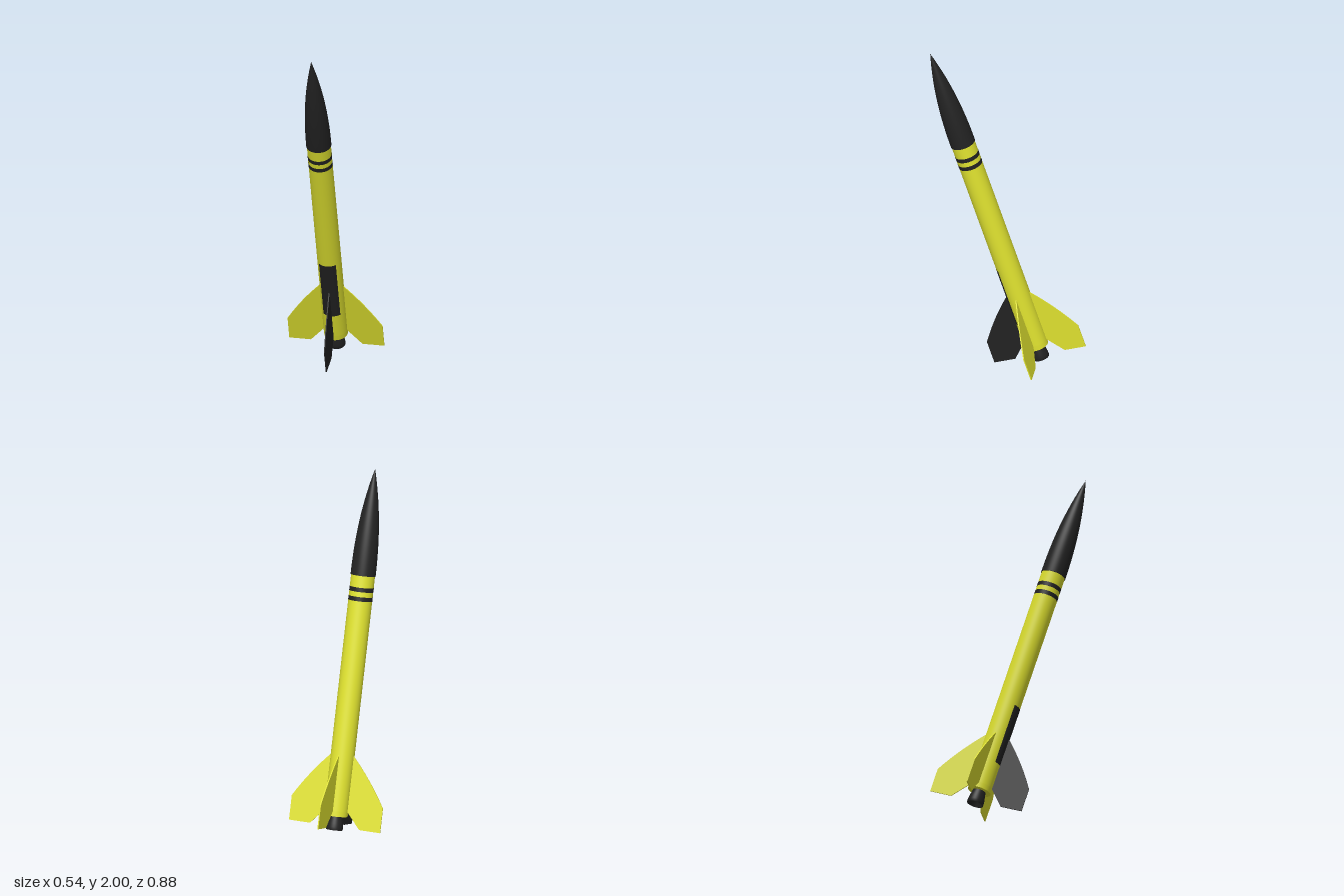
import * as THREE from 'three';

const R = 0.067;
const yellow = new THREE.MeshStandardMaterial({ color: 0xdde02f });
const black = new THREE.MeshStandardMaterial({ color: 0x222222 });
const blackThin = new THREE.MeshStandardMaterial({ color: 0x222222, side: THREE.DoubleSide });

function add(parent, name, geometry, material, y = 0) {
  const mesh = new THREE.Mesh(geometry, material);
  mesh.name = name;
  mesh.position.y = y;
  parent.add(mesh);
  return mesh;
}

// Swept fin outline: x is distance from the axis, y runs along it
function finGeometry() {
  const t = 0.006;
  const s = new THREE.Shape();
  s.moveTo(R - 0.002, 0.03);
  s.lineTo(0.147, -0.061);
  s.lineTo(0.271, -0.061);
  s.lineTo(0.271, 0.077);
  s.quadraticCurveTo(0.18, 0.225, R - 0.002, 0.343);
  s.closePath();
  const g = new THREE.ExtrudeGeometry(s, { depth: t, bevelEnabled: false, curveSegments: 8 });
  return g.translate(0, 0, -t / 2);
}

export function createModel() {
  const rocket = new THREE.Group();
  rocket.name = 'rocket';

  // Body tube with a separate short tail ring
  add(rocket, 'tailRing', new THREE.CylinderGeometry(R, R - 0.001, 0.03, 64), yellow, 0.015);
  add(rocket, 'bodyTube', new THREE.CylinderGeometry(R, R, 1.322, 64), yellow, 0.691);

  // Nose cone: rounded ogive, slightly wider than the tube
  const noseLength = 0.598, profile = [new THREE.Vector2(0.0702, 0)];
  for (let i = 1; i <= 32; i++) {
    const t = i / 32;
    profile.push(new THREE.Vector2(0.0702 * (1 - t ** 2.2), t * noseLength));
  }
  add(rocket, 'noseCone', new THREE.LatheGeometry(profile, 64), black, 1.352);
  const noseBase = add(rocket, 'noseBase', new THREE.CircleGeometry(0.0702, 64), black, 1.352);
  noseBase.rotation.x = Math.PI / 2;

  // Painted bands below the nose
  for (const y of [1.274, 1.222])
    add(rocket, 'stripe', new THREE.CylinderGeometry(R + 0.0008, R + 0.0008, 0.024, 64), black, y);

  // Painted quarter panel on the front
  add(rocket, 'frontPanel', new THREE.CylinderGeometry(R + 0.001, R + 0.001, 0.358, 24, 1, true,
    -Math.PI / 4, Math.PI / 2), blackThin, 0.353);

  // Hollow flared nozzle
  const bell = [[0.001, -0.02], [0.028, -0.02], [0.041, -0.078], [0.047, -0.079],
    [0.0465, -0.06], [0.044, -0.04], [0.04, -0.02], [0.036, 0.002]];
  add(rocket, 'nozzle', new THREE.LatheGeometry(bell.map(p => new THREE.Vector2(...p)), 48), blackThin);

  // Four fins, the front one black
  const fin = finGeometry();
  ['leftFin', 'rearFin', 'rightFin', 'frontFin'].forEach((name, i) => {
    add(rocket, name, fin, i === 3 ? black : yellow).rotation.y = i * Math.PI / 2;
  });

  // Whole rocket leans forward
  rocket.rotation.x = THREE.MathUtils.degToRad(18);
  rocket.position.set(0, 0.143, -0.165);

  const model = new THREE.Group();
  model.name = 'leaningRocket';
  model.add(rocket);
  return model;
}
